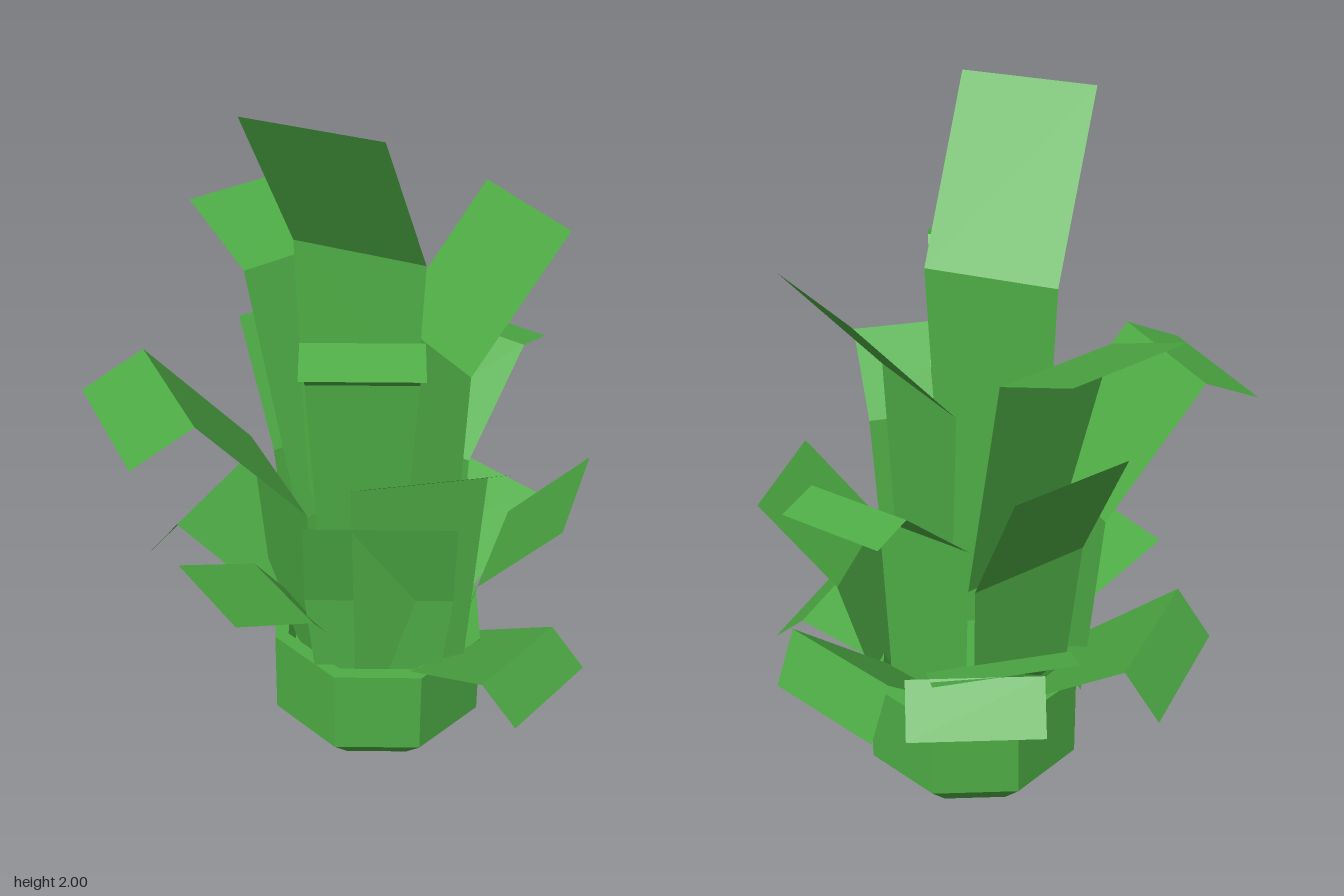
import * as THREE from 'three';

const green = new THREE.MeshStandardMaterial({ color: 0x4eac45, flatShading: true, side: THREE.DoubleSide });
green.name = 'leafGreen';

// A leaf is a bent strip. Its stalk widens from a root to the first bend,
// then it keeps its full width. Bends are [distance out, height].
function leafGeometry({ width, bends, shift = 0, tilt = 0 }, root) {
  const [firstOut, firstY] = bends[0];
  const rootOut = Math.min(root.out, firstOut);
  const rows = [
    [rootOut, root.y, root.taper],
    [(rootOut + firstOut) / 2, (root.y + firstY) / 2, (1 + root.taper) / 2],
    ...bends.map(([out, y]) => [out, y, 1]),
  ];
  const positions = [];
  const index = [];
  rows.forEach(([out, y, factor], i) => {
    for (const side of [-1, 1]) {
      const x = side * factor * width / 2;
      positions.push(shift + x, y + x * tilt, out);
    }
    if (i > 0) {
      const a = (i - 1) * 2;
      index.push(a, a + 1, a + 2, a + 1, a + 3, a + 2);
    }
  });
  const geometry = new THREE.BufferGeometry();
  geometry.setAttribute('position', new THREE.Float32BufferAttribute(positions, 3));
  geometry.setIndex(index);
  geometry.computeVertexNormals();
  return geometry;
}

// Leaf angle is the heading around the stem: 0 = front, positive towards +x

// Crown leaves, rooted high on the stem
const crown = [
  { name: 'topLeaf', angle: -0.4, width: 0.37, shift: -0.045, bends: [[0.05, 1.555], [0.335, 2]] },
  { name: 'upperRightLeaf', angle: 2.13, width: 0.37, shift: -0.06, bends: [[0.12, 1.255], [0.414, 1.6]] },
  { name: 'upperBackLeaf', angle: -2.5, width: 0.37, shift: 0.045, bends: [[0.306, 1.43], [0.572, 1.537]] },
  { name: 'upperFrontLeaf', angle: 0, width: 0.3, shift: -0.05, bends: [[0.155, 1.235], [0.42, 1.515], [0.54, 1.48]] },
];

// Middle leaves, standing up steeply from the base before they lean out
const middle = [
  { name: 'middleLeftLeaf', angle: -1.15, width: 0.42, shift: -0.05, bends: [[0.284, 0.895], [0.58, 1.25], [0.755, 1.165]] },
  { name: 'middleFrontLeaf', angle: 0.19, width: 0.365, shift: 0.045, bends: [[0.3, 1.015], [0.543, 1.19]] },
  { name: 'middleBackRightLeaf', angle: 2.52, width: 0.3, shift: -0.03, bends: [[0.18, 0.87], [0.45, 1.12], [0.57, 1.095]] },
  { name: 'middleBackLeftLeaf', angle: -2.55, width: 0.36, shift: -0.01, bends: [[0.29, 0.83], [0.465, 1.19]] },
  { name: 'broadFrontLeaf', angle: 0, width: 0.41, bends: [[0.25, 0.6], [0.31, 0.885]] },
  { name: 'sideLeaf', angle: 1.27, width: 0.37, bends: [[0.335, 0.67], [0.554, 0.905]] },
];

// Low leaves, most with drooping tips
const low = [
  { name: 'lowFrontRightLeaf', angle: 0.98, width: 0.4, shift: -0.025, tilt: -0.18, bends: [[0.486, 0.445], [0.594, 0.345]] },
  { name: 'lowBackRightLeaf', angle: 2.37, width: 0.37, shift: -0.02, bends: [[0.495, 0.63], [0.565, 0.475]] },
  { name: 'lowBackLeaf', angle: Math.PI, width: 0.37, bends: [[0.435, 0.62], [0.535, 0.49]] },
  { name: 'lowBackInnerLeaf', angle: -2.95, width: 0.4, bends: [[0.35, 0.6], [0.44, 0.62]] },
  { name: 'lowLeftLeaf', angle: -2.04, width: 0.42, bends: [[0.55, 0.625], [0.652, 0.49]] },
  { name: 'lowFrontLeftLeaf', angle: -0.98, width: 0.32, shift: -0.02, bends: [[0.31, 0.55], [0.552, 0.645]] },
];

function leafRing(name, leaves, root) {
  const ring = new THREE.Group();
  ring.name = name;
  for (const spec of leaves) {
    const leaf = new THREE.Mesh(leafGeometry(spec, root), green);
    leaf.name = spec.name;
    leaf.rotation.y = spec.angle;
    ring.add(leaf);
  }
  return ring;
}

export function createModel() {
  const model = new THREE.Group();
  model.name = 'leafyPlant';

  const plant = new THREE.Group();
  plant.name = 'plant';
  plant.position.set(0.105, 0, -0.01);
  model.add(plant);

  // Eight-sided base with a bevelled foot, flat side to the front
  const profile = [[0, 0], [0.232, 0], [0.321, 0.095], [0.321, 0.36], [0.28, 0.36], [0.26, 0.31], [0, 0.31]]
    .map(([r, y]) => new THREE.Vector2(r, y));
  const base = new THREE.Mesh(new THREE.LatheGeometry(profile, 8, Math.PI / 8), green);
  base.name = 'base';

  plant.add(
    base,
    leafRing('crownLeaves', crown, { out: 0.12, y: 0.7, taper: 0.8 }),
    leafRing('middleLeaves', middle, { out: 0.24, y: 0.31, taper: 0.85 }),
    leafRing('lowLeaves', low, { out: 0.1, y: 0.28, taper: 0.6 }),
  );
  return model;
}
